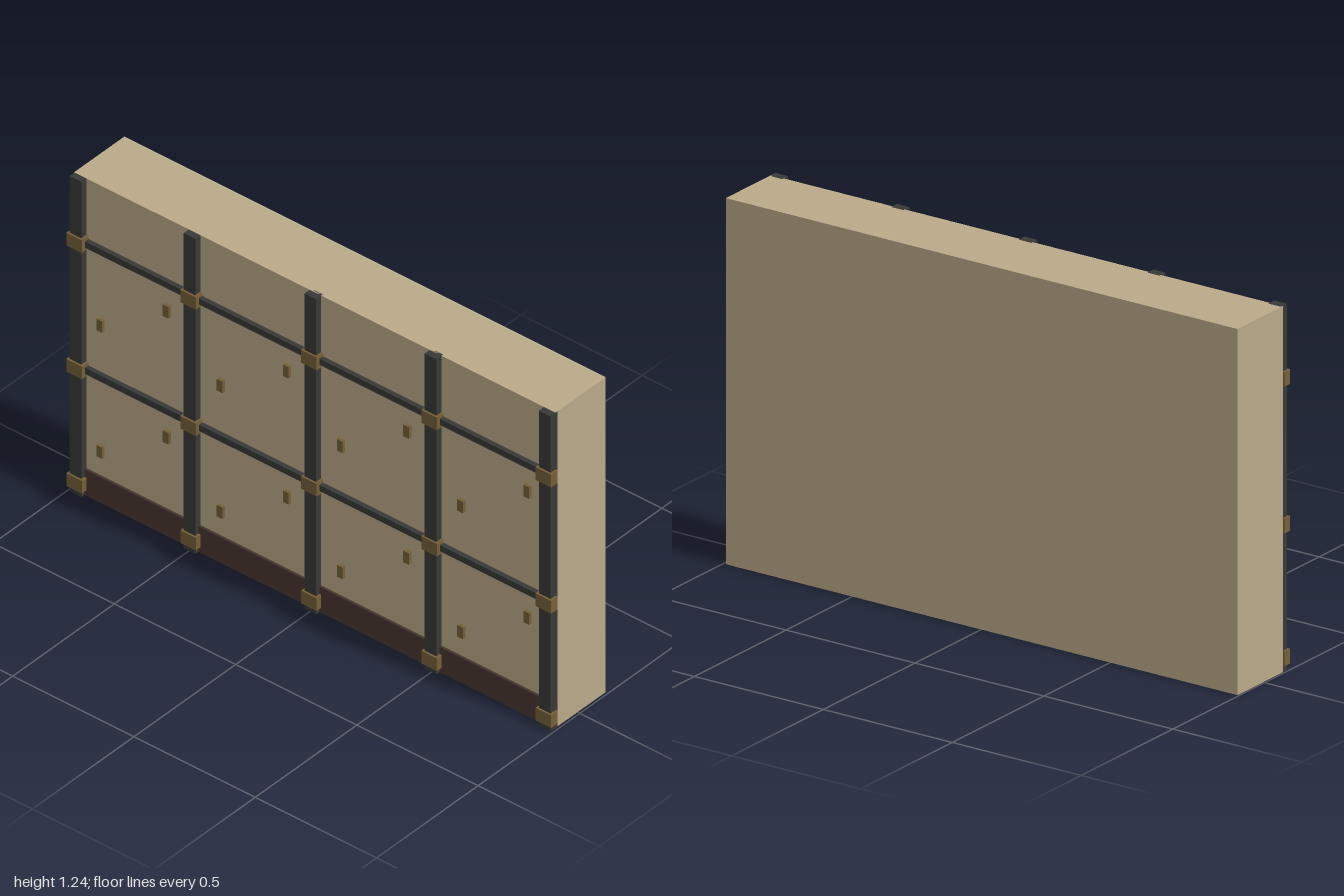
import * as THREE from 'three';

const material = (color) => new THREE.MeshStandardMaterial({ color, flatShading: true });

export function createModel() {
  const group = new THREE.Group();
  const plaster = material(0xb9a988);
  const timber = material(0x383837);
  const plinthBrown = material(0x46352f);
  const bronze = material(0x755f38);

  // Box given by its x and y centre, size and z range
  function box(name, mat, x, y, w, h, zBack, zFront) {
    const mesh = new THREE.Mesh(new THREE.BoxGeometry(w, h, zFront - zBack), mat);
    mesh.position.set(x, y, (zBack + zFront) / 2);
    mesh.name = name;
    group.add(mesh);
  }

  // Wall slab and the skirting along its foot
  box('wall', plaster, -0.002, 0.62, 1.985, 1.24, -0.139, 0.108);
  box('skirting', plinthBrown, 0, 0.05, 1.985, 0.1, 0.1, 0.117);

  // Horizontal rails
  const railHeights = [0.496, 0.993];
  for (const y of railHeights) box('rail', timber, 0, y, 1.96, 0.024, 0.1, 0.125);

  // Posts, with a bracket at the foot and at each rail
  for (const x of [-0.968, -0.498, 0, 0.496, 0.967]) {
    box('post', timber, x, 0.62, 0.048, 1.24, 0.1, 0.133);
    for (const y of [0.046, ...railHeights]) box('bracket', bronze, x, y, 0.064, 0.05, 0.108, 0.14);
  }

  // Two small studs in each of the lower panels
  for (let column = 0; column < 4; column++) {
    for (let row = 0; row < 2; row++) {
      const x = -0.881 + column * 0.496;
      const y = 0.2 + row * 0.496;
      box('stud', bronze, x, y, 0.024, 0.045, 0.1, 0.12);
      box('stud', bronze, x + 0.273, y + 0.187, 0.024, 0.045, 0.1, 0.12);
    }
  }
  return group;
}
